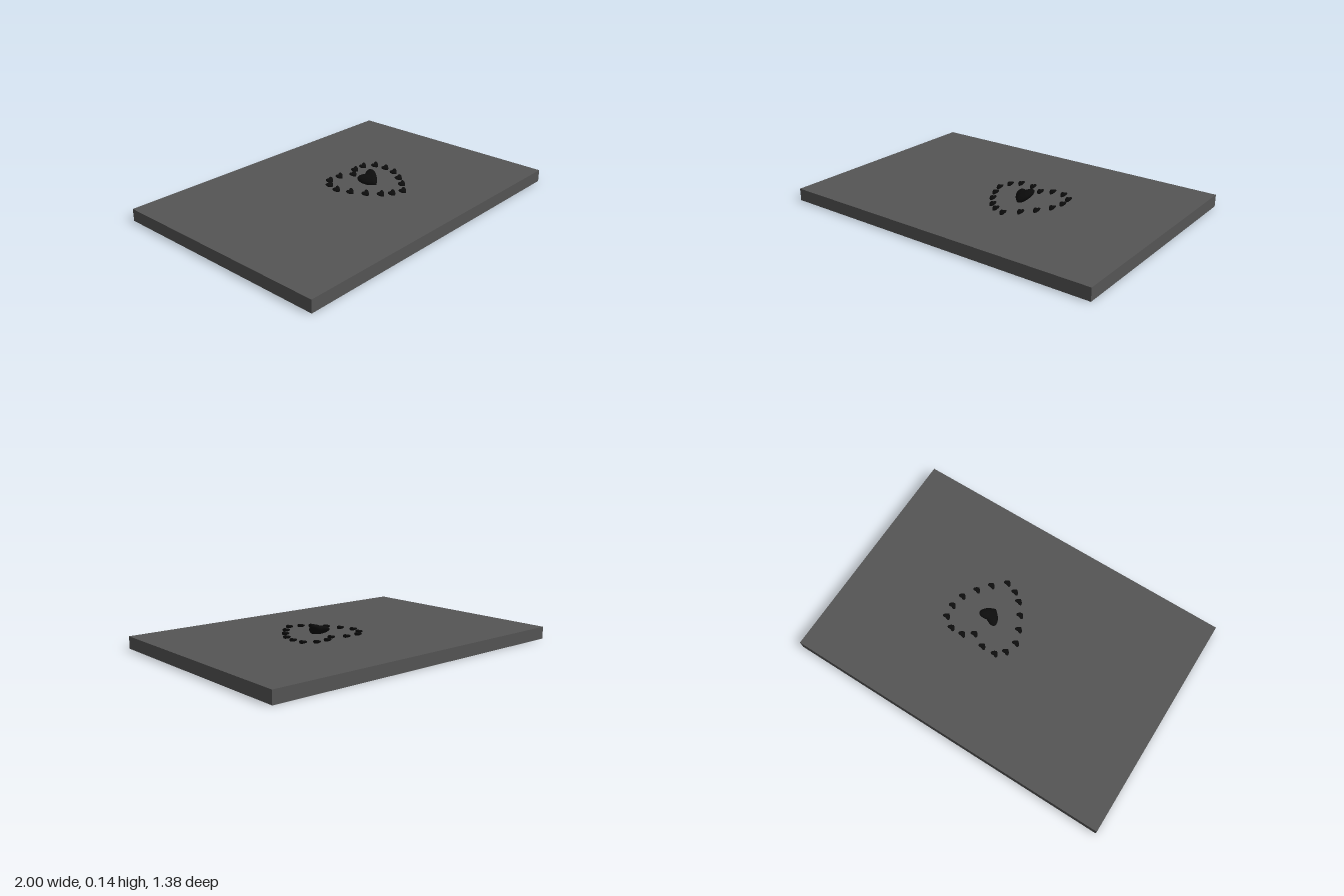
import * as THREE from 'three';

const SLAB_TOP = 0.073;

// Puffy heart: a sphere sheared away from its centre line, tip towards +z
function heartGeometry() {
  const geo = new THREE.SphereGeometry(1, 24, 12);
  const p = geo.attributes.position;
  for (let i = 0; i < p.count; i++) {
    const x = p.getX(i), y = p.getY(i), z = p.getZ(i);
    p.setXYZ(i, x * 0.062, y * 0.024, (z - 0.75 * Math.abs(x) + 0.12) * 0.05);
  }
  geo.computeVertexNormals();
  return geo;
}

export function createModel() {
  const model = new THREE.Group();
  const slabMaterial = new THREE.MeshStandardMaterial({ color: 0x555555 });
  const heartMaterial = new THREE.MeshStandardMaterial({ color: 0x0c0c0c });

  // Flat base slab
  const slab = new THREE.Mesh(new THREE.BoxGeometry(2, SLAB_TOP, 1.384), slabMaterial);
  slab.name = 'baseSlab';
  slab.position.y = SLAB_TOP / 2;
  model.add(slab);

  // Hearts lean with their lobes raised and the +x side a little higher
  const geo = heartGeometry();
  const addHeart = (name, x, y, z, scale) => {
    const heart = new THREE.Mesh(geo, heartMaterial);
    heart.name = name;
    heart.position.set(x, y, z);
    heart.rotation.set(0.45, 0, 0.27);
    heart.scale.setScalar(scale);
    model.add(heart);
  };
  addHeart('centreHeart', 0.152, 0.097, 0.043, 1);

  // Ring of small hearts laid out as a larger heart
  const ring = [
    [0.005, -0.14], [0.09, -0.14], [0.17, -0.10], [0.23, -0.14], [0.305, -0.14], [0.367, -0.095],
    [0.377, -0.02], [0.36, 0.06], [0.31, 0.14], [0.252, 0.21], [0.18, 0.275], [0.112, 0.25],
    [0.06, 0.21], [0.007, 0.14], [-0.035, 0.06], [-0.065, -0.02], [-0.043, -0.095],
  ];
  ring.forEach(([x, z], i) => addHeart(`smallHeart${i + 1}`, x, 0.082, z, 0.37));

  return model;
}
